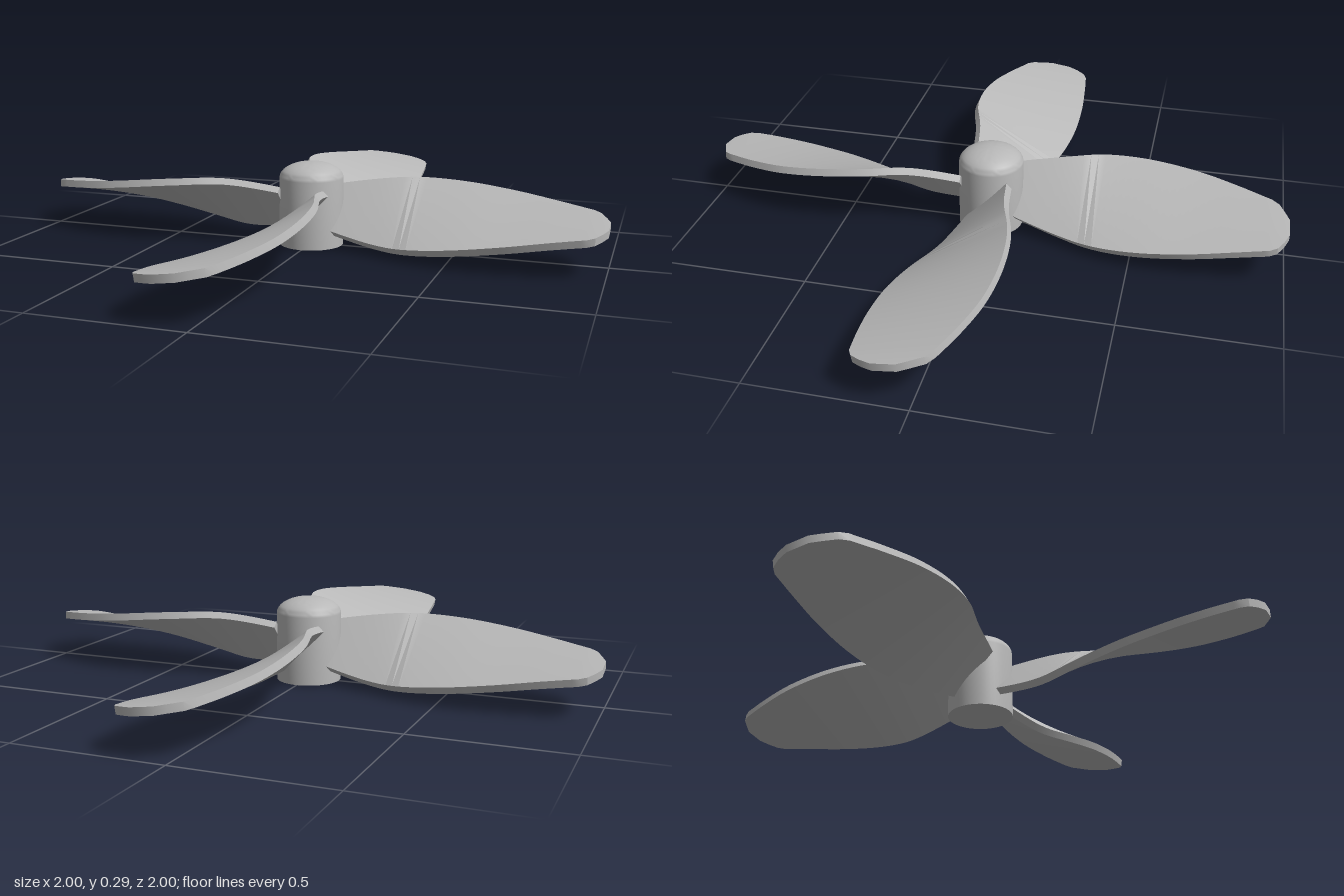
import * as THREE from 'three';
import { toCreasedNormals } from 'three/addons/utils/BufferGeometryUtils.js';

const THICKNESS = 0.025;

// Blade stations: distance from axis, back edge z, front edge z, pitch in degrees, centre height
const STATIONS = [
  [0.09, -0.09, 0.065, 46, 0.125],
  [0.25, -0.115, 0.115, 41, 0.125],
  [0.4, -0.155, 0.17, 30, 0.128],
  [0.55, -0.165, 0.2, 22.5, 0.132],
  [0.7, -0.148, 0.206, 17, 0.135],
  [0.83, -0.108, 0.198, 13, 0.138],
  [0.94, -0.062, 0.186, 10, 0.14],
];
// Clipped tip, kept angular
const TIP = [
  [0.965, -0.043, 0.173, 9, 0.14],
  [0.985, -0.003, 0.142, 8.5, 0.14],
  [1.0, 0.03, 0.105, 8, 0.14],
];

// Smooth stations between the given ones
function bladeStations() {
  const outline = new THREE.CatmullRomCurve3(
    STATIONS.map(s => new THREE.Vector3(s[0], s[1], s[2])), false, 'catmullrom', 0.5);
  const twist = new THREE.CatmullRomCurve3(
    STATIONS.map(s => new THREE.Vector3(s[3], s[4], 0)), false, 'catmullrom', 0.5);
  const result = [];
  const n = 36;
  for (let i = 0; i <= n; i++) {
    const a = outline.getPoint(i / n), b = twist.getPoint(i / n);
    result.push([a.x, a.y, a.z, b.x, b.y]);
  }
  return result.concat(TIP);
}

// Twisted blade along +x, lofted from thin pitched rectangles
function bladeGeometry() {
  const positions = [], index = [];
  const stations = bladeStations();
  for (const [x, back, front, pitch, yc] of stations) {
    const angle = THREE.MathUtils.degToRad(pitch);
    const s = Math.sin(angle), c = Math.cos(angle), h = THICKNESS / 2;
    const zc = (back + front) / 2;
    const w = ((front - back) / 2 - h * s) / c;
    for (const [u, v] of [[-w, h], [w, h], [w, -h], [-w, -h]]) {
      positions.push(x, yc - u * s + v * c, zc + u * c + v * s);
    }
  }
  const last = (stations.length - 1) * 4;
  for (let i = 0; i < last; i += 4) {
    for (let j = 0; j < 4; j++) {
      const k = (j + 1) % 4;
      index.push(i + j, i + k, i + 4 + k, i + j, i + 4 + k, i + 4 + j);
    }
  }
  index.push(0, 2, 1, 0, 3, 2); // root end
  index.push(last, last + 1, last + 2, last, last + 2, last + 3); // tip end
  const geometry = new THREE.BufferGeometry();
  geometry.setAttribute('position', new THREE.Float32BufferAttribute(positions, 3));
  geometry.setIndex(index);
  return toCreasedNormals(geometry, 0.45);
}

// Straight hub with a rounded cap
function hubGeometry() {
  const profile = [new THREE.Vector2(0, 0), new THREE.Vector2(0.11, 0)];
  const steps = 10;
  for (let i = 0; i <= steps; i++) {
    const a = (i / steps) * Math.PI / 2;
    profile.push(new THREE.Vector2(i === steps ? 0 : 0.11 * Math.cos(a), 0.232 + 0.055 * Math.sin(a)));
  }
  return toCreasedNormals(new THREE.LatheGeometry(profile, 48), 0.6);
}

export function createModel() {
  const model = new THREE.Group();
  model.name = 'propeller';
  const metal = new THREE.MeshStandardMaterial({ color: 0xb8b8b8 });
  metal.name = 'grey metal';

  const hub = new THREE.Mesh(hubGeometry(), metal);
  hub.name = 'hub';
  model.add(hub);

  // Four equal blades around the hub
  const geometry = bladeGeometry();
  for (let i = 0; i < 4; i++) {
    const blade = new THREE.Mesh(geometry, metal);
    blade.name = 'blade' + (i + 1);
    blade.rotation.y = i * Math.PI / 2;
    model.add(blade);
  }
  return model;
}
